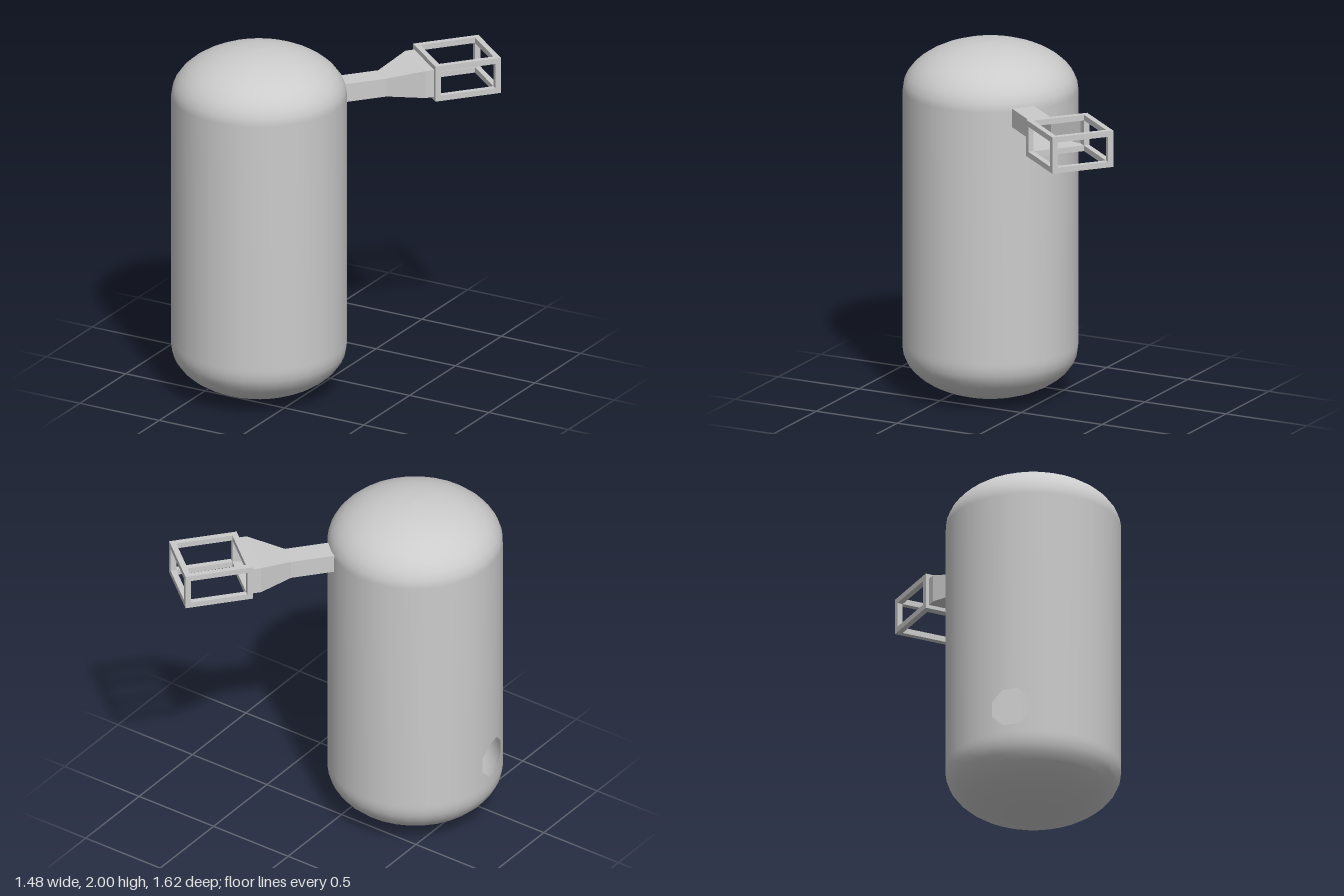
import * as THREE from 'three';

const RADIUS = 0.48, DOME = 0.27, SEGMENTS = 32;
const material = new THREE.MeshStandardMaterial({ color: 0xcccccc, side: THREE.DoubleSide });

function addMesh(parent, geometry, name) {
  const mesh = new THREE.Mesh(geometry, material);
  mesh.name = name;
  parent.add(mesh);
  return mesh;
}

// Points of a quarter ellipse from the wall (t = 0) to the pole (t = 1)
function domePoint(t, top) {
  const a = t * Math.PI / 2;
  const y = DOME - DOME * Math.sin(a);
  return new THREE.Vector2(t === 1 ? 0 : RADIUS * Math.cos(a), top ? 2 - y : y);
}

// Wall patch with an octagonal opening, wrapped round the tank at local +z
function openingPatch(y0, y1, halfAngle, holeY, holeRadius) {
  const positions = [], normals = [], index = [];
  const put = (angle, y) => {
    positions.push(RADIUS * Math.sin(angle), y, RADIUS * Math.cos(angle));
    normals.push(Math.sin(angle), 0, Math.cos(angle));
  };
  const wave = k => THREE.MathUtils.clamp(Math.abs(8 - ((k + 16) % 16)) - 4, -2, 2) / 2;
  for (let i = 0; i < 16; i++) {
    const a = i * Math.PI / 8;
    const r = holeRadius * (i % 2 ? 1 : Math.cos(Math.PI / 8));
    put(wave(i) * halfAngle, (y0 + y1) / 2 + wave(i - 4) * (y1 - y0) / 2);
    put(r * Math.cos(a) / RADIUS, holeY + r * Math.sin(a));
    const o = 2 * i, h = o + 1, o2 = (o + 2) % 32, h2 = o2 + 1;
    index.push(h, o, o2, h, o2, h2);
  }
  const g = new THREE.BufferGeometry();
  g.setAttribute('position', new THREE.Float32BufferAttribute(positions, 3));
  g.setAttribute('normal', new THREE.Float32BufferAttribute(normals, 3));
  g.setIndex(index);
  return g;
}

// Open rectangular duct through stations [distance, halfWidth, bottom, top]
function duct(stations) {
  const rings = stations.map(([d, w, b, t]) => [[w, b, d], [w, t, d], [-w, t, d], [-w, b, d]]);
  const positions = [];
  for (let s = 0; s < rings.length - 1; s++) {
    for (let i = 0; i < 4; i++) {
      const j = (i + 1) % 4, p = rings[s], q = rings[s + 1];
      for (const v of [p[i], p[j], q[j], p[i], q[j], q[i]]) positions.push(...v);
    }
  }
  const g = new THREE.BufferGeometry();
  g.setAttribute('position', new THREE.Float32BufferAttribute(positions, 3));
  g.computeVertexNormals();
  return g;
}

function buildTank() {
  const tank = new THREE.Group();
  tank.name = 'tank';
  const low = 0.3, high = 0.6, half = 2 * (2 * Math.PI / SEGMENTS);
  const bottom = [], top = [new THREE.Vector2(RADIUS, high)];
  for (let i = 0; i <= 10; i++) {
    bottom.push(domePoint(1 - i / 10, false));
    top.push(domePoint(i / 10, true));
  }
  bottom.push(new THREE.Vector2(RADIUS, low));
  addMesh(tank, new THREE.LatheGeometry(bottom, SEGMENTS), 'lowerDome');
  addMesh(tank, new THREE.LatheGeometry(top, SEGMENTS), 'upperShell');
  // Wall band that leaves room for the opening
  const band = [new THREE.Vector2(RADIUS, low), new THREE.Vector2(RADIUS, high)];
  addMesh(tank, new THREE.LatheGeometry(band, SEGMENTS - 4, half, 2 * Math.PI - 2 * half), 'lowerWall');
  addMesh(tank, openingPatch(low, high, half, 0.45, 0.115), 'openingWall');
  tank.rotation.y = THREE.MathUtils.degToRad(-81.6);
  return tank;
}

function buildArm() {
  const arm = new THREE.Group();
  arm.name = 'arm';
  // Neck that flares into an open mouth
  addMesh(arm, duct([
    [0.46, 0.066, 1.645, 1.75],
    [0.716, 0.066, 1.645, 1.75],
    [0.908, 0.16, 1.645, 1.803],
    [0.97, 0.16, 1.645, 1.803],
  ]), 'funnel');

  // Open box frame: two rectangular rims joined by corner posts
  const near = 0.959, far = 1.339, halfWidth = 0.18, bar = 0.032, bottom = 1.624, top = 1.83;
  const length = far - near, mid = (near + far) / 2;
  const rect = (Path, w, l) => new Path([
    new THREE.Vector2(-w, -l), new THREE.Vector2(w, -l),
    new THREE.Vector2(w, l), new THREE.Vector2(-w, l),
  ]);
  const rim = rect(THREE.Shape, halfWidth, length / 2);
  rim.holes.push(rect(THREE.Path, halfWidth - bar, length / 2 - bar));
  const rimGeometry = new THREE.ExtrudeGeometry(rim, { depth: bar, bevelEnabled: false });
  rimGeometry.rotateX(-Math.PI / 2);
  addMesh(arm, rimGeometry, 'lowerRim').position.set(0, bottom, mid);
  addMesh(arm, rimGeometry, 'upperRim').position.set(0, top - bar, mid);
  const post = new THREE.BoxGeometry(bar, top - bottom - 2 * bar, bar);
  for (const sx of [-1, 1]) {
    for (const sz of [-1, 1]) {
      addMesh(arm, post, 'cornerPost').position.set(
        sx * (halfWidth - bar / 2), (top + bottom) / 2, mid + sz * (length - bar) / 2);
    }
  }
  arm.rotation.y = Math.atan2(0.643, -0.766);
  return arm;
}

export function createModel() {
  const model = new THREE.Group();
  model.name = 'tankWithArm';
  model.add(buildTank(), buildArm());
  for (const part of model.children) part.position.set(-0.26, 0, 0.327);
  return model;
}
